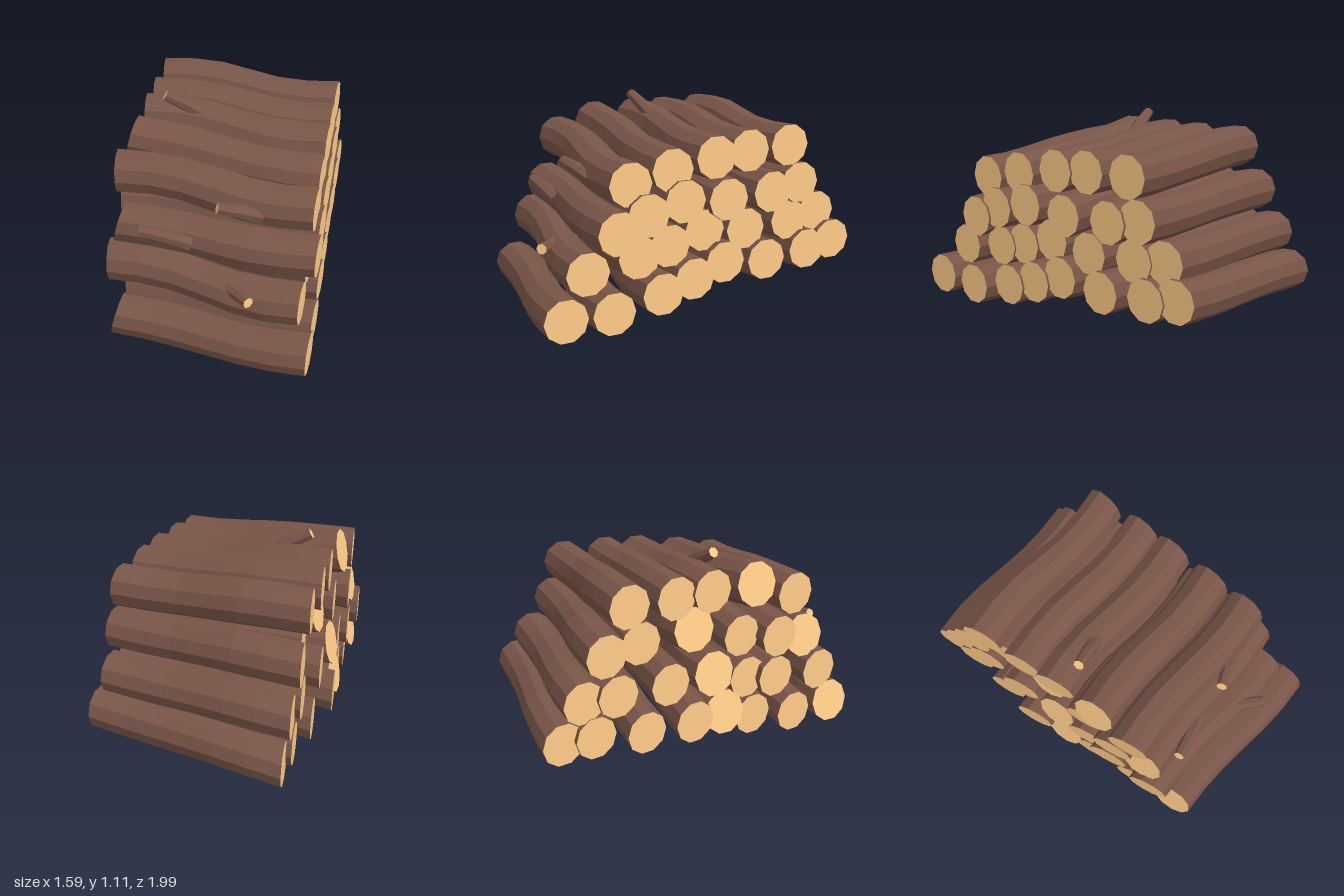
import * as THREE from 'three';

const bark = new THREE.MeshStandardMaterial({ color: 0x795548, flatShading: true });
const cutWood = new THREE.MeshStandardMaterial({ color: 0xffcc88, flatShading: true });
const { lerp } = THREE.MathUtils;
const SIDES = 10;
const RADIUS = 0.116;

// Each log, front to back: z and y of its right end, x and y of its left end,
// and an upward tilt of the left cut face where it has one.
// x: right end of the first and last log; skew: how far forward the left end swings, same order
const layers = [
  { x: [0.77, 0.28], skew: [0.19, 0.22], logs: [
    [0.69, 0.155, -0.265, 0.15, 0.27], [0.44, 0.14, -0.36, 0.145], [0.17, 0.19, -0.46, 0.2],
    [-0.01, 0.24, -0.535, 0.265, 0.27], [-0.19, 0.3, -0.63, 0.265], [-0.45, 0.27, -0.65, 0.235],
    [-0.72, 0.285, -0.7, 0.255], [-0.89, 0.315, -0.745, 0.255]] },
  { x: [0.665, 0.27], skew: [0.2, 0.23], logs: [
    [0.565, 0.35, -0.37, 0.4], [0.29, 0.39, -0.445, 0.41], [0.12, 0.425, -0.475, 0.43],
    [-0.08, 0.48, -0.535, 0.49, 0.27], [-0.33, 0.45, -0.615, 0.48], [-0.61, 0.46, -0.67, 0.46],
    [-0.79, 0.485, -0.72, 0.46]] },
  { x: [0.68, 0.34], skew: [0.27, 0.22], logs: [
    [0.405, 0.55, -0.345, 0.6, 0.27], [0.25, 0.62, -0.43, 0.635], [0.045, 0.665, -0.45, 0.66],
    [-0.21, 0.64, -0.495, 0.73, 0.27], [-0.485, 0.645, -0.585, 0.705], [-0.66, 0.675, -0.695, 0.69]] },
  { x: [0.63, 0.35], skew: [0.26, 0.27], logs: [
    [0.34, 0.785, -0.39, 0.86], [0.11, 0.83, -0.44, 0.94, 0.27], [-0.14, 0.87, -0.51, 0.935],
    [-0.34, 0.885, -0.58, 0.93], [-0.59, 0.89, -0.665, 0.93]] },
];

// Carries a unit log (x from 0 to 1, radius 1) onto the crooked log between two points
function bend(geometry, left, right, tilt, phase) {
  const p = geometry.attributes.position;
  const c = new THREE.Vector3();
  for (let i = 0; i < p.count; i++) {
    const t = p.getX(i), a = p.getY(i), b = p.getZ(i);
    const sway = Math.sin(2 * Math.PI * t), arch = Math.sin(Math.PI * t);
    c.lerpVectors(left, right, t);
    c.z -= 0.018 * sway;
    // Tilted logs sag in the middle, the others rise and then dip
    c.y += tilt ? -0.015 * arch : 0.015 * sway;
    const r = RADIUS * (1 + 0.04 * Math.sin(7 * t + phase) * arch);
    // Cross-sections lean along the line of the pile, most at the left end
    const lean = lerp(tilt ? 0.3 : 0.42, 0.22, t);
    const up = lerp(tilt, 0, t);
    p.setXYZ(i, c.x + r * (lean * b + up * a), c.y + r * a, c.z + r * b * Math.sqrt(1 - lean * lean));
  }
  geometry.computeVertexNormals();
  return geometry;
}

function makeLog(left, right, tilt, phase) {
  const log = new THREE.Group();
  const add = (name, geometry, material) => {
    const mesh = new THREE.Mesh(bend(geometry, left, right, tilt, phase), material);
    mesh.name = name;
    log.add(mesh);
  };
  const tube = new THREE.CylinderGeometry(1, 1, 1, SIDES, 6, true);
  add('logBark', tube.rotateZ(-Math.PI / 2).translate(0.5, 0, 0), bark);
  add('rightCutFace', new THREE.CircleGeometry(1, SIDES).rotateY(Math.PI / 2).translate(1, 0, 0), cutWood);
  add('leftCutFace', new THREE.CircleGeometry(1, SIDES).rotateY(-Math.PI / 2), cutWood);
  return log;
}

// Sawn-off branch stub running from inside a log to its pale tip
function makeBranch(base, tip) {
  const branch = new THREE.Group();
  const from = new THREE.Vector3(...base), to = new THREE.Vector3(...tip);
  const length = from.distanceTo(to);
  const stem = new THREE.CylinderGeometry(0.029, 0.044, length, 7, 2, true).translate(0, length / 2, 0);
  // Slight kink at the middle
  const p = stem.attributes.position;
  for (let i = 0; i < p.count; i++) {
    p.setX(i, p.getX(i) + 0.008 * Math.sin(Math.PI * p.getY(i) / length));
  }
  stem.computeVertexNormals();
  const stemMesh = new THREE.Mesh(stem, bark);
  stemMesh.name = 'branchBark';
  const cap = new THREE.CircleGeometry(0.029, 7).rotateX(-Math.PI / 2).rotateY(Math.PI / 2).translate(0, length, 0);
  const capMesh = new THREE.Mesh(cap, cutWood);
  capMesh.name = 'branchCutFace';
  branch.add(stemMesh, capMesh);
  branch.position.copy(from);
  branch.quaternion.setFromUnitVectors(new THREE.Vector3(0, 1, 0), to.sub(from).normalize());
  return branch;
}

export function createModel() {
  const pile = new THREE.Group();
  pile.name = 'logPile';

  // Four stacked layers of logs
  layers.forEach(({ x, skew, logs }, row) => {
    const layer = new THREE.Group();
    layer.name = `logLayer${row + 1}`;
    const zFront = logs[0][0], zBack = logs[logs.length - 1][0];
    logs.forEach(([z, y, xLeft, yLeft, tilt = 0], i) => {
      const k = (zFront - z) / (zFront - zBack);
      const right = new THREE.Vector3(lerp(x[0], x[1], k), y, z);
      const left = new THREE.Vector3(xLeft, yLeft, z + lerp(skew[0], skew[1], k));
      const log = makeLog(left, right, tilt, row * 1.3 + i * 2.1);
      log.name = `log${row + 1}_${i + 1}`;
      layer.add(log);
    });
    pile.add(layer);
  });

  // Branch stubs on the front and top logs
  [
    [[-0.18, 0.98, 0.055], [-0.365, 1.1, 0.155]],
    [[0.4, 0.77, 0.5], [0.215, 0.835, 0.63]],
    [[0.07, 0.58, 0.65], [-0.165, 0.655, 0.765]],
    [[0.25, 0.415, 0.66], [0.465, 0.435, 0.775]],
  ].forEach(([base, tip], i) => {
    const branch = makeBranch(base, tip);
    branch.name = `branchStub${i + 1}`;
    pile.add(branch);
  });

  return pile;
}
